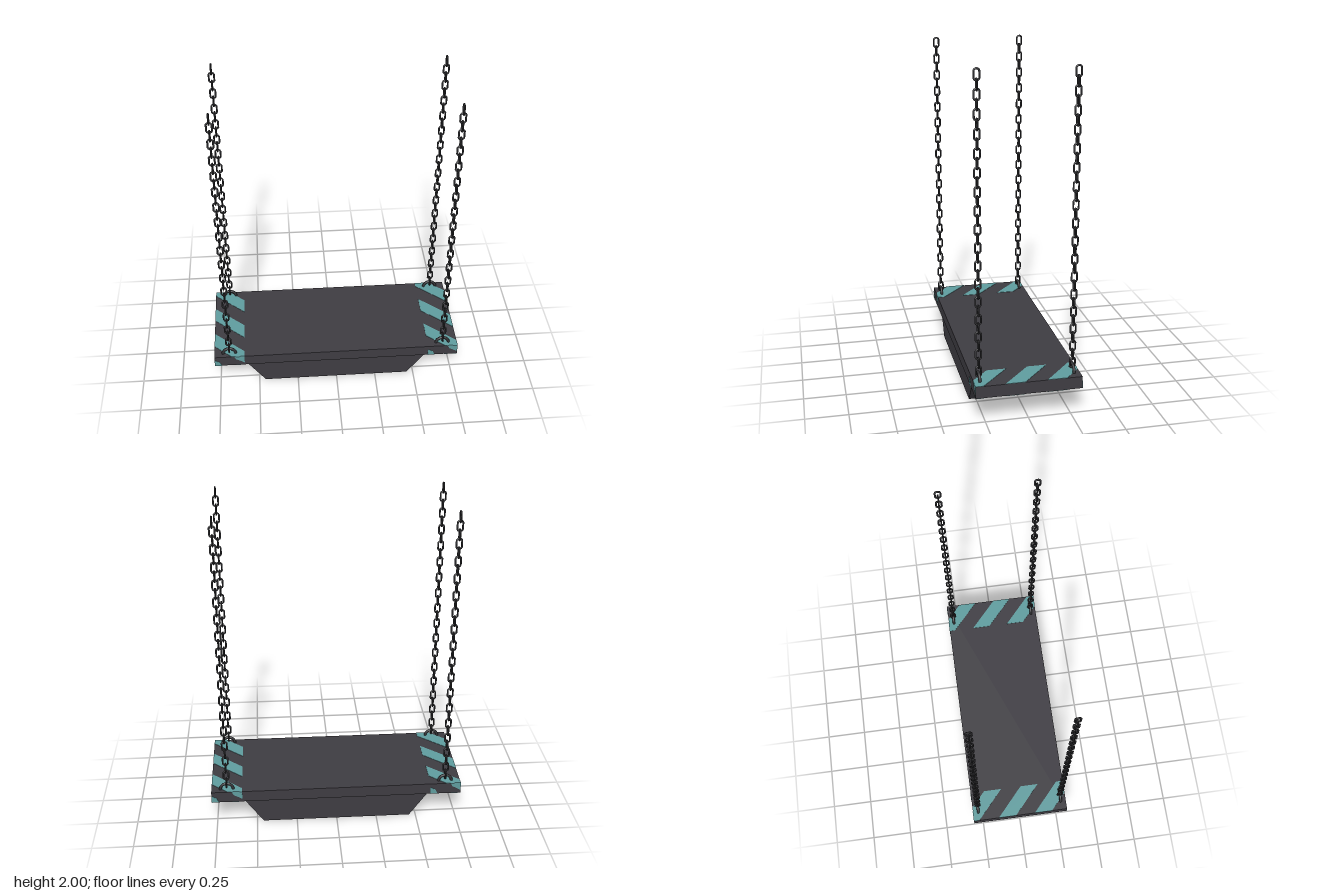
import * as THREE from 'three';
import { mergeGeometries } from 'three/addons/utils/BufferGeometryUtils.js';

const DECK = { x: 0.777, z: 0.31, bottom: 0.165, top: 0.237 };
const STRIPE_THICKNESS = 0.002;

// Extruded flat outline
function plate(points, depth) {
  const shape = new THREE.Shape(points.map(([x, y]) => new THREE.Vector2(x, y)));
  return new THREE.ExtrudeGeometry(shape, { depth, bevelEnabled: false });
}

// Chain link: a torus pulled apart into a stadium shape
function linkGeometry() {
  const segments = 12;
  const geo = new THREE.TorusGeometry(0.016, 0.0056, 6, segments);
  geo.rotateZ(Math.PI / segments);
  const pos = geo.attributes.position;
  for (let i = 0; i < pos.count; i++) {
    pos.setY(i, pos.getY(i) + Math.sign(pos.getY(i)) * 0.0155);
  }
  geo.computeVertexNormals();
  return geo;
}

// Links alternate between facing the side and facing the front
function chainGeometry() {
  const count = 33, first = 0.285, last = 1.963;
  const links = [];
  for (let i = 0; i < count; i++) {
    const link = linkGeometry();
    if (i % 2 === 0) link.rotateY(Math.PI / 2);
    link.translate(0, first + (last - first) * i / (count - 1), 0);
    links.push(link);
  }
  return mergeGeometries(links);
}

export function createModel() {
  const deckMat = new THREE.MeshStandardMaterial({ name: 'dark grey', color: 0x3e3c42 });
  const chainMat = new THREE.MeshStandardMaterial({ name: 'chain steel', color: 0x333336 });
  const stripeMat = new THREE.MeshStandardMaterial({ name: 'teal', color: 0x5f9c9e });

  const model = new THREE.Group();
  model.name = 'hangingPlatform';
  const add = (parent, name, geo, mat, x = 0, y = 0, z = 0) => {
    const mesh = new THREE.Mesh(geo, mat);
    mesh.name = name;
    mesh.position.set(x, y, z);
    parent.add(mesh);
    return mesh;
  };

  // Deck
  const height = DECK.top - DECK.bottom;
  add(model, 'deck', new THREE.BoxGeometry(DECK.x * 2, height, DECK.z * 2), deckMat, 0, DECK.bottom + height / 2, 0);

  // Trapezoid skids below the deck
  const skid = plate([[-0.46, 0], [0.46, 0], [0.577, DECK.bottom], [-0.577, DECK.bottom]], 0.042);
  skid.translate(0, 0, -0.021);
  add(model, 'frontSkid', skid, deckMat, 0, 0, 0.27);
  add(model, 'backSkid', skid, deckMat, 0, 0, -0.27);

  // Diagonal stripes on the deck ends, as (x, z) outlines
  const faceStripes = [
    [[0, -0.31], [0.09, -0.31], [0.19, -0.22], [0.19, -0.105], [0, -0.275]],
    [[0, -0.145], [0.19, 0.025], [0.19, 0.14], [0, -0.03]],
    [[0, 0.095], [0.19, 0.265], [0.19, 0.31], [0.11, 0.31], [0, 0.21]],
  ];
  // Stripe ends on the long edges, as (x, y) outlines
  const edgeStripes = [
    [[0, 0.165], [0.045, 0.165], [0.032, 0.195], [0, 0.212]],
    [[0.125, 0.237], [0.138, 0.215], [0.19, 0.185], [0.19, 0.237]],
  ];
  const stripes = new THREE.Group();
  stripes.name = 'stripes';
  model.add(stripes);
  for (const x of [-DECK.x, DECK.x - 0.19]) {
    for (const outline of faceStripes) {
      const geo = plate(outline, STRIPE_THICKNESS).rotateX(Math.PI / 2);
      add(stripes, 'topStripe', geo, stripeMat, x, DECK.top + STRIPE_THICKNESS, 0);
      add(stripes, 'undersideStripe', geo, stripeMat, x, DECK.bottom, 0);
    }
    for (const outline of edgeStripes) {
      const geo = plate(outline, STRIPE_THICKNESS).translate(x, 0, DECK.z);
      add(stripes, 'frontEdgeStripe', geo, stripeMat);
      add(stripes, 'backEdgeStripe', geo, stripeMat).rotation.y = Math.PI;
    }
  }

  // Eyelets and chains at the four corners
  const chain = chainGeometry();
  const eyelet = new THREE.TorusGeometry(0.04, 0.009, 8, 14, Math.PI);
  for (const x of [-0.682, 0.682]) {
    for (const z of [-0.275, 0.275]) {
      const corner = new THREE.Group();
      corner.name = (z > 0 ? 'front' : 'back') + (x > 0 ? 'Left' : 'Right') + 'Chain';
      corner.position.set(x, 0, z);
      add(corner, 'eyelet', eyelet, chainMat, 0, DECK.top, 0);
      add(corner, 'links', chain, chainMat);
      model.add(corner);
    }
  }
  return model;
}
